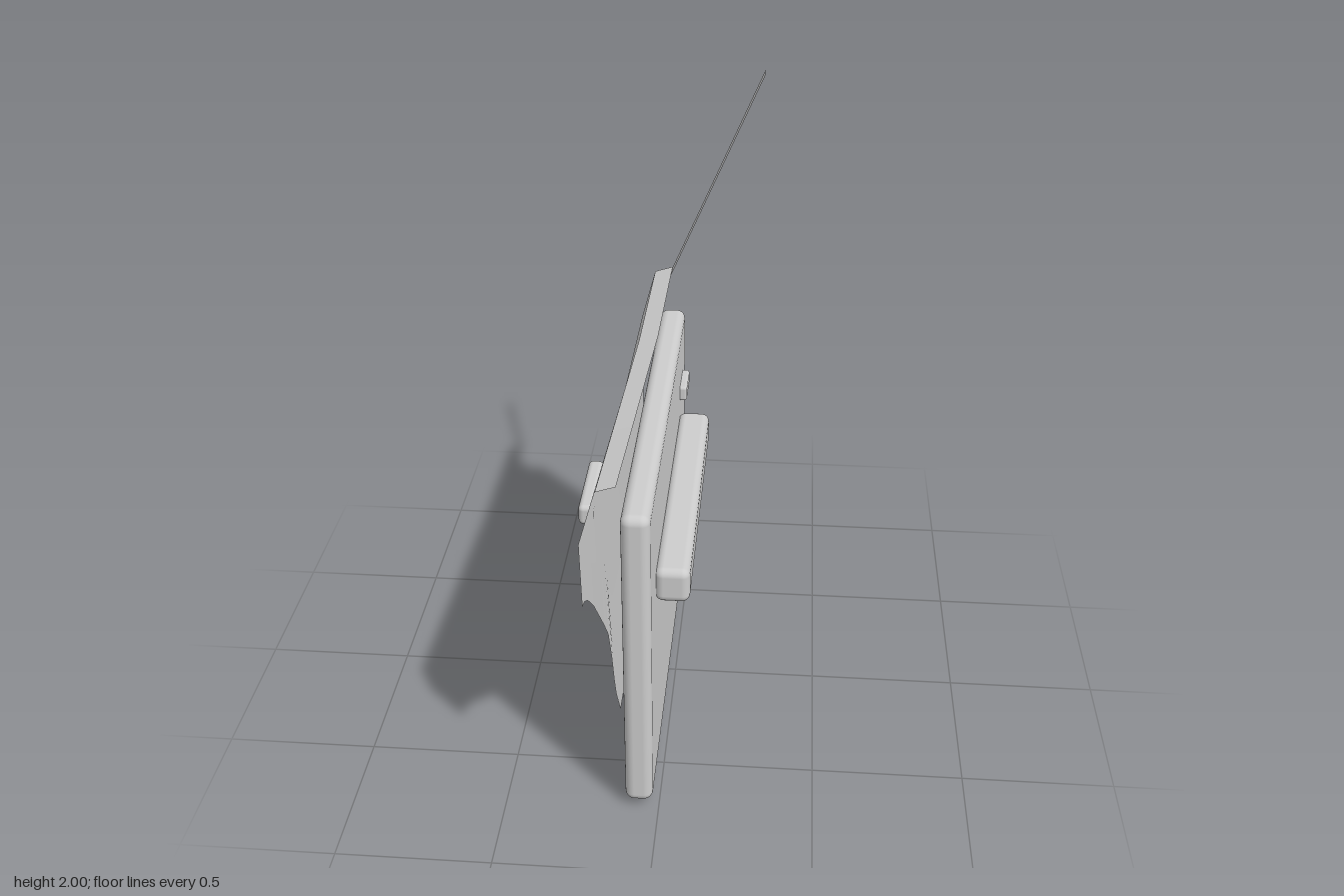
import * as THREE from 'three';
import { RoundedBoxGeometry } from 'three/addons/geometries/RoundedBoxGeometry.js';

const { lerp, clamp } = THREE.MathUtils;

// Lower edge of the skin as [z, y]: flat sill, then the wheel-arch cutout
const LOWER_EDGE = [
  [-0.815, 0], [-0.2, 0], [0.24, 0], [0.31, 0.13], [0.33, 0.21], [0.345, 0.32], [0.38, 0.44],
  [0.45, 0.53], [0.54, 0.635], [0.63, 0.74], [0.72, 0.825], [0.77, 0.857], [0.815, 0.87],
];

// Cross-section of the skin at one z, from lower edge up to the window flange
function skinSection([z, bottom]) {
  const t = (z + 0.815) / 1.63;
  const bulge = clamp((z + 0.2) / 1.015, 0, 1);
  const creaseY = lerp(1.04, 1.09, t);
  const creaseX = -0.19 - 0.027 * bulge;
  const midX = -0.19 - 0.013 * bulge;
  const sideX = (y) => (y < 0.48
    ? lerp(-0.177, midX, y / 0.48)
    : lerp(midX, creaseX, (y - 0.48) / (creaseY - 0.48)));
  const midY = Math.max(0.48, lerp(bottom, creaseY, 0.46));
  return [
    [sideX(bottom), bottom, z],
    [sideX(midY), midY, z],
    [creaseX, creaseY, z],
    [-0.14 - 0.025 * bulge, lerp(1.225, 1.27, t), z],
    [-0.075 - 0.03 * bulge, lerp(1.245, 1.29, t), z],
  ];
}

// Faceted sheet stretched over a row of cross-sections
function sheet(sections) {
  const pos = [];
  for (let i = 0; i < sections.length - 1; i++) {
    const a = sections[i], b = sections[i + 1];
    for (let j = 0; j < a.length - 1; j++) {
      pos.push(...a[j], ...b[j], ...b[j + 1], ...a[j], ...b[j + 1], ...a[j + 1]);
    }
  }
  const geo = new THREE.BufferGeometry();
  geo.setAttribute('position', new THREE.Float32BufferAttribute(pos, 3));
  geo.computeVertexNormals();
  return geo;
}

export function createModel() {
  const group = new THREE.Group();
  const grey = new THREE.MeshStandardMaterial({ color: 0xcccccc, side: THREE.DoubleSide });
  grey.name = 'light grey';

  const add = (name, geo) => {
    const mesh = new THREE.Mesh(geo, grey);
    mesh.name = name;
    group.add(mesh);
    return mesh;
  };
  // Rounded block given by its extents on each axis
  const block = (name, [x0, x1], [y0, y1], [z0, z1], radius) =>
    add(name, new RoundedBoxGeometry(x1 - x0, y1 - y0, z1 - z0, 3, radius))
      .position.set((x0 + x1) / 2, (y0 + y1) / 2, (z0 + z1) / 2);

  // Outer door skin with folded window flange
  add('outerSkin', sheet(LOWER_EDGE.map(skinSection)));

  // Leaning window post, a flat strip
  add('windowPost', sheet([-0.815, -0.745].map((z) => [[-0.075, 1.243, z], [0.25, 2, z]])));

  // Inner trim and handles
  block('innerPanel', [-0.11, -0.02], [0.022, 1.122], [-0.725, 0.72], 0.03);
  block('armrest', [-0.025, 0.086], [0.693, 0.815], [-0.49, 0.54], 0.027);
  block('innerHandle', [-0.03, 0.005], [0.875, 0.93], [-0.6, -0.453], 0.01);
  block('outerHandle', [-0.255, -0.208], [0.983, 1.05], [0.27, 0.555], 0.016);

  return group;
}
